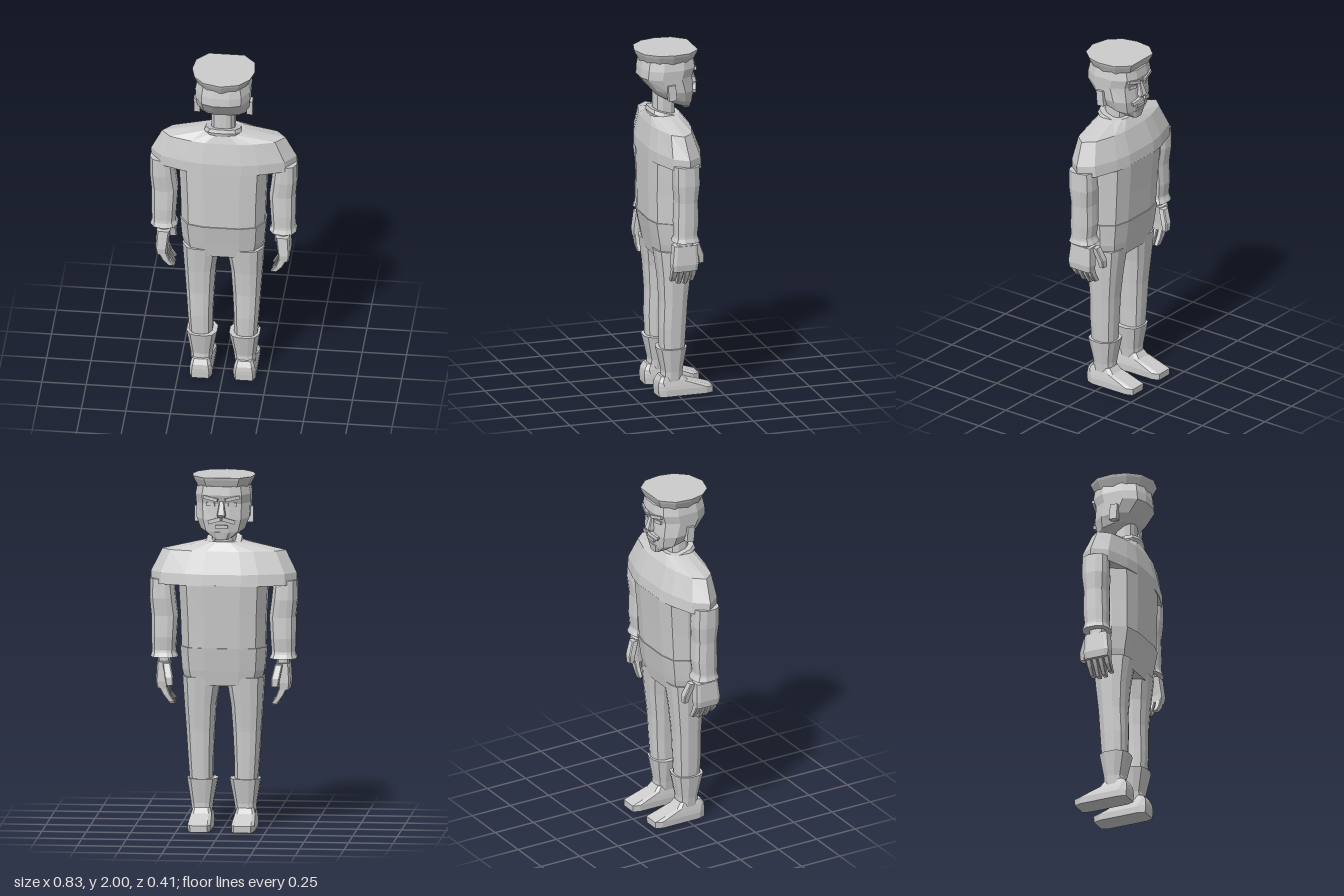
import * as THREE from 'three';

const grey = new THREE.MeshStandardMaterial({ color: 0xcccccc, flatShading: true });
grey.name = 'plain grey';

// Quarter outlines (x, z as fractions), mirrored into a full closed ring
const quarter = {
  round: [[1, 0.38], [0.72, 0.85], [0.3, 1]],
  box: [[1, 0.75], [0.75, 1]],
  body: [[1, 0.3], [0.8, 0.84], [0.42, 1]],
  lens: [[0.85, 0.55], [0.5, 0.88], [0.27, 1]],
};
function outline(kind) {
  const q = quarter[kind];
  const back = [...q, ...q.map(([x, z]) => [-x, z]).reverse()];
  const front = back.map(([x, z]) => [-x, -z]);
  return kind === 'lens' ? [[1, 0], ...back, [-1, 0], ...front] : [...back, ...front];
}

// Skin over horizontal rings, low to high: [y, centreX, halfWidth, zFront, zBack, tilt]
function loft(name, kind, rings, side = 1) {
  const shape = outline(kind), n = shape.length, pos = [];
  const pts = rings.map(([y, cx, hw, zf, zb, tilt = 0]) => shape.map(([u, v]) =>
    [cx * side + u * hw, y + v * tilt, (zf + zb) / 2 + v * (zb - zf) / 2]));
  const mid = rings.map(([y, cx, , zf, zb]) => [cx * side, y, (zf + zb) / 2]);
  const last = pts.length - 1;
  for (let i = 0; i < n; i++) {
    const j = (i + 1) % n;
    for (let r = 0; r < last; r++) {
      const a = pts[r][i], b = pts[r + 1][i], c = pts[r + 1][j], d = pts[r][j];
      pos.push(...a, ...b, ...c, ...a, ...c, ...d);
    }
    pos.push(...mid[0], ...pts[0][i], ...pts[0][j]);
    pos.push(...mid[last], ...pts[last][j], ...pts[last][i]);
  }
  const g = new THREE.BufferGeometry();
  g.setAttribute('position', new THREE.Float32BufferAttribute(pos, 3));
  g.computeVertexNormals();
  const m = new THREE.Mesh(g, grey);
  m.name = name;
  return m;
}

function block(name, size, at, rot = [0, 0, 0]) {
  const m = new THREE.Mesh(new THREE.BoxGeometry(...size), grey);
  m.name = name;
  m.position.set(...at);
  m.rotation.set(...rot);
  return m;
}

function makeHead() {
  const head = new THREE.Group();
  head.name = 'head';
  head.add(
    loft('neck', 'round', [[1.58, 0, 0.066, -0.03, 0.09], [1.78, 0, 0.066, -0.03, 0.09]]),
    loft('collar', 'round', [
      [1.585, 0, 0.1, -0.068, 0.118, 0.03], [1.605, 0, 0.108, -0.07, 0.125, 0.035],
      [1.635, 0, 0.098, -0.06, 0.118, 0.025]]),
    loft('skull', 'round', [
      [1.665, 0, 0.06, -0.115, -0.01, 0.015],
      [1.715, 0, 0.125, -0.122, 0.085, 0.025],
      [1.77, 0, 0.148, -0.13, 0.122, 0.01],
      [1.85, 0, 0.152, -0.125, 0.178],
      [1.9, 0, 0.155, -0.142, 0.175],
      [1.95, 0, 0.145, -0.135, 0.165]]),
    // Nose, lips and chin
    loft('nose', 'box', [
      [1.775, 0, 0.02, -0.15, -0.11], [1.79, 0, 0.024, -0.162, -0.11],
      [1.865, 0, 0.012, -0.135, -0.11]]),
    block('mouth', [0.07, 0.018, 0.03], [0, 1.722, -0.122]),
    loft('chin', 'round', [[1.645, 0, 0.035, -0.122, -0.08], [1.69, 0, 0.055, -0.13, -0.08]]),
  );
  for (const s of [1, -1]) {
    head.add(
      block('ear', [0.035, 0.09, 0.045], [s * 0.148, 1.775, 0.03], [0.08, 0, 0]),
      block('eyebrow', [0.085, 0.018, 0.03], [s * 0.06, 1.882, -0.127], [0, s * -0.25, s * 0.2]),
      block('eye', [0.05, 0.02, 0.02], [s * 0.06, 1.848, -0.118], [0, s * -0.25, 0]),
      block('moustache', [0.075, 0.022, 0.035], [s * 0.036, 1.758, -0.132], [0, s * -0.3, s * -0.3]),
    );
  }
  return head;
}

// Flared cap with a flat top that comes to a point at the back
function makeCap() {
  const half = [[0.1, -0.142], [0.165, -0.07], [0.177, 0.025], [0.157, 0.11], [0.1, 0.175]];
  const rim = [...half, [0, 0.203], ...half.map(([x, z]) => [-x, z]).reverse()];
  const levels = [[1.935, 0.82], [1.985, 0.97], [2, 1]];
  const pos = [], n = rim.length;
  const p = (i, [y, k]) => [rim[i % n][0] * k, y, (rim[i % n][1] - 0.01) * (k * 0.95 + 0.05) + 0.01];
  for (let i = 0; i < n; i++) {
    for (let l = 0; l < 2; l++) {
      const a = p(i, levels[l]), b = p(i, levels[l + 1]), c = p(i + 1, levels[l + 1]), d = p(i + 1, levels[l]);
      pos.push(...a, ...b, ...c, ...a, ...c, ...d);
    }
    pos.push(0, 2, 0, ...p(i + 1, levels[2]), ...p(i, levels[2]));
    pos.push(0, 1.935, 0, ...p(i, levels[0]), ...p(i + 1, levels[0]));
  }
  const g = new THREE.BufferGeometry();
  g.setAttribute('position', new THREE.Float32BufferAttribute(pos, 3));
  g.computeVertexNormals();
  const m = new THREE.Mesh(g, grey);
  m.name = 'cap';
  return m;
}

function makeArm(s) {
  const arm = new THREE.Group();
  arm.name = s > 0 ? 'armLeft' : 'armRight';
  arm.add(
    loft('sleeve', 'round', [
      [0.99, 0.337, 0.066, -0.05, 0.078], [1.08, 0.335, 0.07, -0.06, 0.08],
      [1.2, 0.332, 0.074, -0.055, 0.075], [1.3, 0.343, 0.072, -0.065, 0.085],
      [1.41, 0.348, 0.065, -0.06, 0.085]], s),
    loft('cuff', 'round', [
      [0.965, 0.335, 0.076, -0.066, 0.09], [0.99, 0.337, 0.067, -0.055, 0.08],
      [1.01, 0.337, 0.066, -0.05, 0.078]], s),
    loft('wrist', 'round', [[0.92, 0.335, 0.035, -0.03, 0.06], [0.98, 0.335, 0.035, -0.03, 0.06]], s),
    loft('palm', 'box', [
      [0.79, 0.342, 0.03, -0.05, 0.092], [0.83, 0.345, 0.034, -0.055, 0.097],
      [0.94, 0.335, 0.038, -0.05, 0.085]], s),
    loft('thumb', 'box', [
      [0.815, 0.295, 0.02, -0.105, -0.075], [0.86, 0.3, 0.024, -0.105, -0.065],
      [0.935, 0.315, 0.022, -0.075, -0.035]], s),
  );
  // Four curled fingers
  for (let i = 0; i < 4; i++) {
    const z = -0.034 + i * 0.037, tip = 0.7 + [0.012, 0, 0.003, 0.02][i];
    arm.add(loft('finger', 'box', [
      [tip, 0.288, 0.017, z - 0.012, z + 0.012], [0.755, 0.318, 0.02, z - 0.015, z + 0.015],
      [0.81, 0.342, 0.024, z - 0.016, z + 0.016]], s));
  }
  return arm;
}

function makeLeg(s) {
  const leg = new THREE.Group();
  leg.name = s > 0 ? 'legLeft' : 'legRight';
  leg.add(
    loft('trouserLeg', 'round', [
      [0.22, 0.125, 0.062, -0.045, 0.09], [0.4, 0.13, 0.07, -0.055, 0.098],
      [0.55, 0.131, 0.078, -0.062, 0.095], [0.7, 0.131, 0.088, -0.078, 0.105],
      [0.86, 0.123, 0.106, -0.095, 0.125]], s),
    loft('bootShaft', 'round', [
      [0.08, 0.123, 0.056, -0.035, 0.085], [0.14, 0.122, 0.062, -0.035, 0.08],
      [0.28, 0.12, 0.086, -0.06, 0.112]], s),
    loft('shoe', 'box', [
      [0, 0.123, 0.063, -0.205, 0.113], [0.038, 0.123, 0.065, -0.207, 0.115],
      [0.06, 0.123, 0.062, -0.14, 0.115], [0.085, 0.123, 0.057, -0.06, 0.112],
      [0.115, 0.123, 0.048, -0.035, 0.095]], s),
  );
  return leg;
}

export function createModel() {
  const model = new THREE.Group();
  model.name = 'standingFigure';
  model.add(
    // Broad shoulders above the armpits
    loft('shoulders', 'lens', [
      [1.385, 0, 0.41, -0.145, 0.155], [1.45, 0, 0.41, -0.137, 0.155],
      [1.575, 0, 0.348, -0.09, 0.132], [1.625, 0, 0.12, -0.055, 0.115]]),
    loft('jacket', 'body', [
      [1.025, 0, 0.235, -0.118, 0.15], [1.2, 0, 0.24, -0.13, 0.153],
      [1.39, 0, 0.25, -0.145, 0.155]]),
    loft('hips', 'body', [
      [0.815, 0, 0.21, -0.09, 0.115], [0.9, 0, 0.232, -0.105, 0.13],
      [1.03, 0, 0.242, -0.124, 0.156]]),
    makeHead(), makeCap(),
  );
  for (const s of [1, -1]) model.add(makeArm(s), makeLeg(s));
  return model;
}
